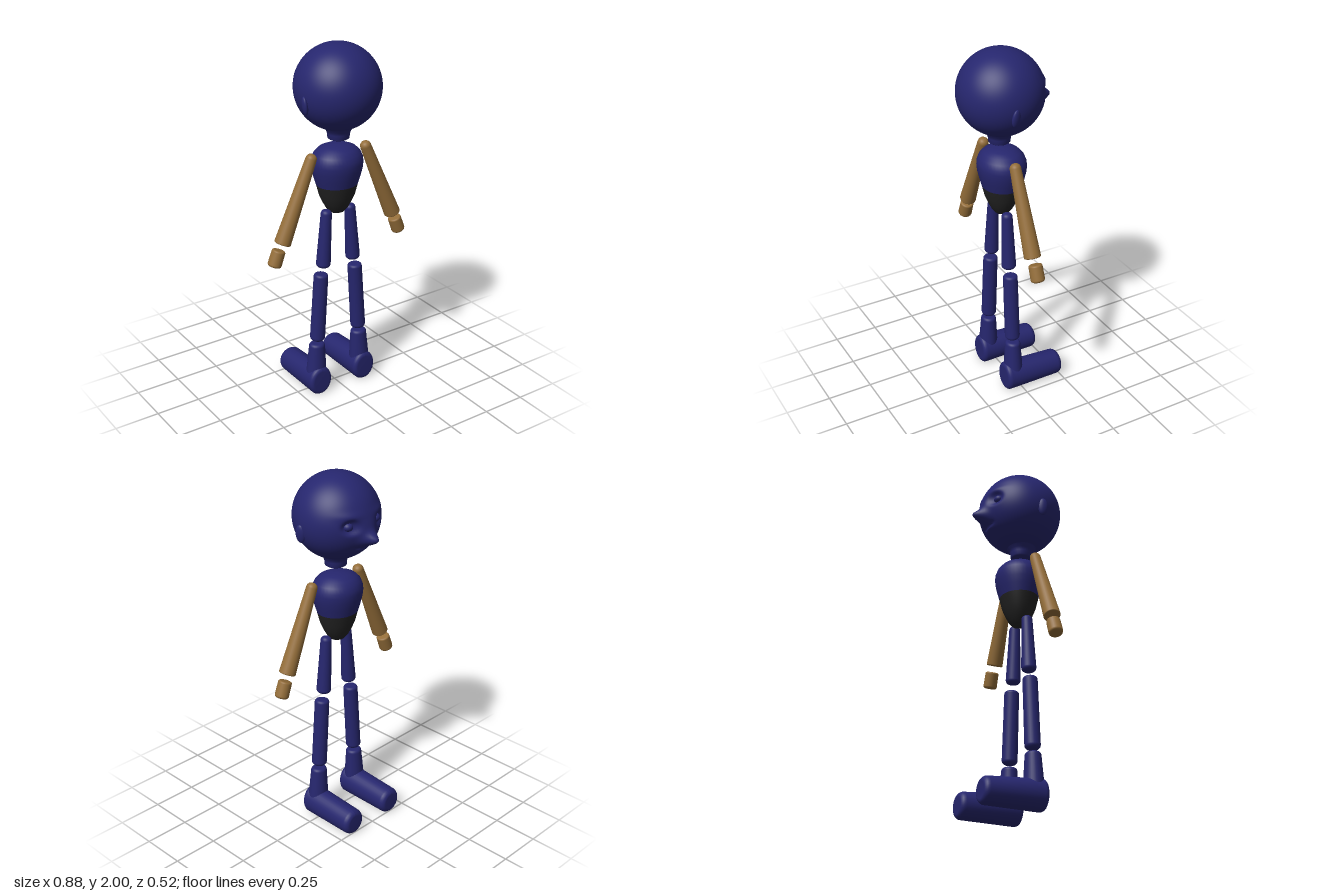
import * as THREE from 'three';
import { mergeVertices } from 'three/addons/utils/BufferGeometryUtils.js';

const mat = (name, color) => Object.assign(new THREE.MeshStandardMaterial({ color }), { name });
const V = (x, y, z) => new THREE.Vector3(x, y, z);

export function createModel() {
  const model = new THREE.Group();
  model.name = 'figure';
  const navy = mat('navy', 0x26266e);
  const tan = mat('tan', 0x946e3a);
  const black = mat('black', 0x232323);

  const add = (name, geometry, material, parent = model) => {
    const mesh = new THREE.Mesh(geometry, material);
    mesh.name = name;
    parent.add(mesh);
    return mesh;
  };

  // Half outline of a tapered rod from y = 0 to y = length, with rounded rims
  const rodProfile = (length, r0, r1, round0, round1) => {
    const pts = [new THREE.Vector2(0, 0)];
    for (let i = 0; i <= 5; i++) {
      const a = (i / 5) * Math.PI / 2;
      pts.push(new THREE.Vector2(r0 - round0 + round0 * Math.sin(a), round0 * (1 - Math.cos(a))));
    }
    for (let i = 0; i <= 5; i++) {
      const a = (i / 5) * Math.PI / 2;
      pts.push(new THREE.Vector2(r1 - round1 + round1 * Math.cos(a), length - round1 * (1 - Math.sin(a))));
    }
    pts.push(new THREE.Vector2(0, length));
    return pts;
  };

  // Rod between two points, low end first
  const rod = (name, from, to, r0, r1, round0, round1, material, parent) => {
    const axis = to.clone().sub(from);
    const mesh = add(name, new THREE.LatheGeometry(
      rodProfile(axis.length(), r0, r1, round0, round1), 28), material, parent);
    mesh.position.copy(from);
    mesh.quaternion.setFromUnitVectors(V(0, 1, 0), axis.normalize());
    return mesh;
  };

  // Head: a sphere with the face pushed in and out on its -z side
  const headGeometry = () => {
    let g = new THREE.SphereGeometry(0.23, 128, 96);
    g.deleteAttribute('uv');
    g.deleteAttribute('normal');
    g = mergeVertices(g, 1e-5);
    const p = g.attributes.position;
    const bump = (dx, dy, sx, sy) => Math.exp(-((dx / sx) ** 2) - (dy / sy) ** 2);
    for (let i = 0; i < p.count; i++) {
      const x = p.getX(i), y = p.getY(i), z = p.getZ(i);
      if (z > 0) continue;
      const ax = Math.abs(x);
      const nose = 0.062 * bump(x, y + 0.072, 0.04, 0.036) + 0.014 * bump(x, y + 0.03, 0.06, 0.07);
      const socket = 0.022 * Math.exp(-((((ax - 0.1) / 0.042) ** 2 + ((y - 0.005) / 0.036) ** 2) ** 2));
      const brow = 0.006 * bump(ax - 0.1, y - 0.06, 0.06, 0.02);
      const smile = 0.008 * bump(0, y + 0.125 - 2.5 * x * x, 1, 0.007) * Math.exp(-((x / 0.06) ** 6));
      const lip = 0.007 * bump(x, y + 0.142, 0.05, 0.014);
      p.setZ(i, z - nose + socket - brow + smile - lip);
    }
    g.computeVertexNormals();
    return g;
  };
  const head = new THREE.Group();
  head.name = 'headGroup';
  head.position.set(0, 1.77, 0.03);
  model.add(head);
  add('head', headGeometry(), navy, head);

  // Neck, flared at both ends
  const neck = [[0, 1.49], [0.05, 1.49], [0.058, 1.496], [0.06, 1.52], [0.066, 1.537], [0.085, 1.56]];
  add('neck', new THREE.LatheGeometry(neck.map(q => new THREE.Vector2(...q)), 32), navy)
    .position.z = 0.037;

  // Torso: egg-shaped shirt over a dark lower body
  const torsoPart = (name, points, material) => {
    const mesh = add(name, new THREE.LatheGeometry(points.map(q => new THREE.Vector2(...q)), 40), material);
    mesh.scale.z = 0.9;
    mesh.position.z = 0.024;
  };
  torsoPart('hips', [[0, 1.065], [0.02, 1.066], [0.042, 1.075], [0.06, 1.095], [0.08, 1.13],
    [0.1, 1.175], [0.116, 1.235]], black);
  torsoPart('chest', [[0.116, 1.235], [0.13, 1.28], [0.14, 1.32], [0.144, 1.355], [0.141, 1.38],
    [0.129, 1.408], [0.105, 1.432], [0.07, 1.447], [0.035, 1.453], [0, 1.455]], navy);

  // Foot: rod along z, flattened at the sole and lower at the toe
  const footGeometry = () => {
    const g = new THREE.LatheGeometry(rodProfile(0.352, 0.08, 0.08, 0.025, 0.03), 32);
    g.rotateX(-Math.PI / 2);
    const p = g.attributes.position;
    for (let i = 0; i < p.count; i++) {
      const t = -p.getZ(i) / 0.352;
      const y = Math.max(p.getY(i), -0.073) + 0.073;
      p.setXYZ(i, p.getX(i) * 0.885, 0.003 + y * (1.1 - 0.2 * t), p.getZ(i));
    }
    g.computeVertexNormals();
    return g;
  };

  for (const [side, s] of [['left', 1], ['right', -1]]) {
    // Ear and eyeball
    const ear = add(side + 'Ear', new THREE.SphereGeometry(1, 24, 16), navy, head);
    ear.scale.set(0.015, 0.05, 0.027);
    ear.position.set(s * 0.223, -0.055, 0.035);
    ear.rotation.set(0, s * 0.3, -s * 0.12);
    const eye = add(side + 'Eye', new THREE.SphereGeometry(0.028, 24, 16), navy, head);
    eye.position.set(s * 0.098, 0.004, -0.174);
    eye.scale.y = 0.85;

    // Arm and hand
    rod(side + 'Arm', V(s * 0.358, 0.978, 0.042), V(s * 0.162, 1.437, 0.04),
      0.045, 0.03, 0.006, 0.027, tan);
    rod(side + 'Hand', V(s * 0.409, 0.857, 0.037), V(s * 0.376, 0.945, 0.037),
      0.038, 0.037, 0.014, 0.01, tan);

    // Leg segments
    rod(side + 'Thigh', V(s * 0.098, 0.767, 0.035), V(s * 0.075, 1.1, 0.035),
      0.04, 0.03, 0.022, 0.022, navy);
    rod(side + 'Shin', V(s * 0.138, 0.322, 0.034), V(s * 0.111, 0.73, 0.034),
      0.042, 0.04, 0.024, 0.016, navy);

    // Boot: ankle and foot
    const ankle = rod(side + 'Ankle', V(s * 0.148, 0.08, 0.034), V(s * 0.14, 0.306, 0.034),
      0.06, 0.046, 0.02, 0.018, navy);
    ankle.scale.z = 0.92;
    add(side + 'Foot', footGeometry(), navy).position.set(s * 0.147, 0, 0.094);
  }
  return model;
}
